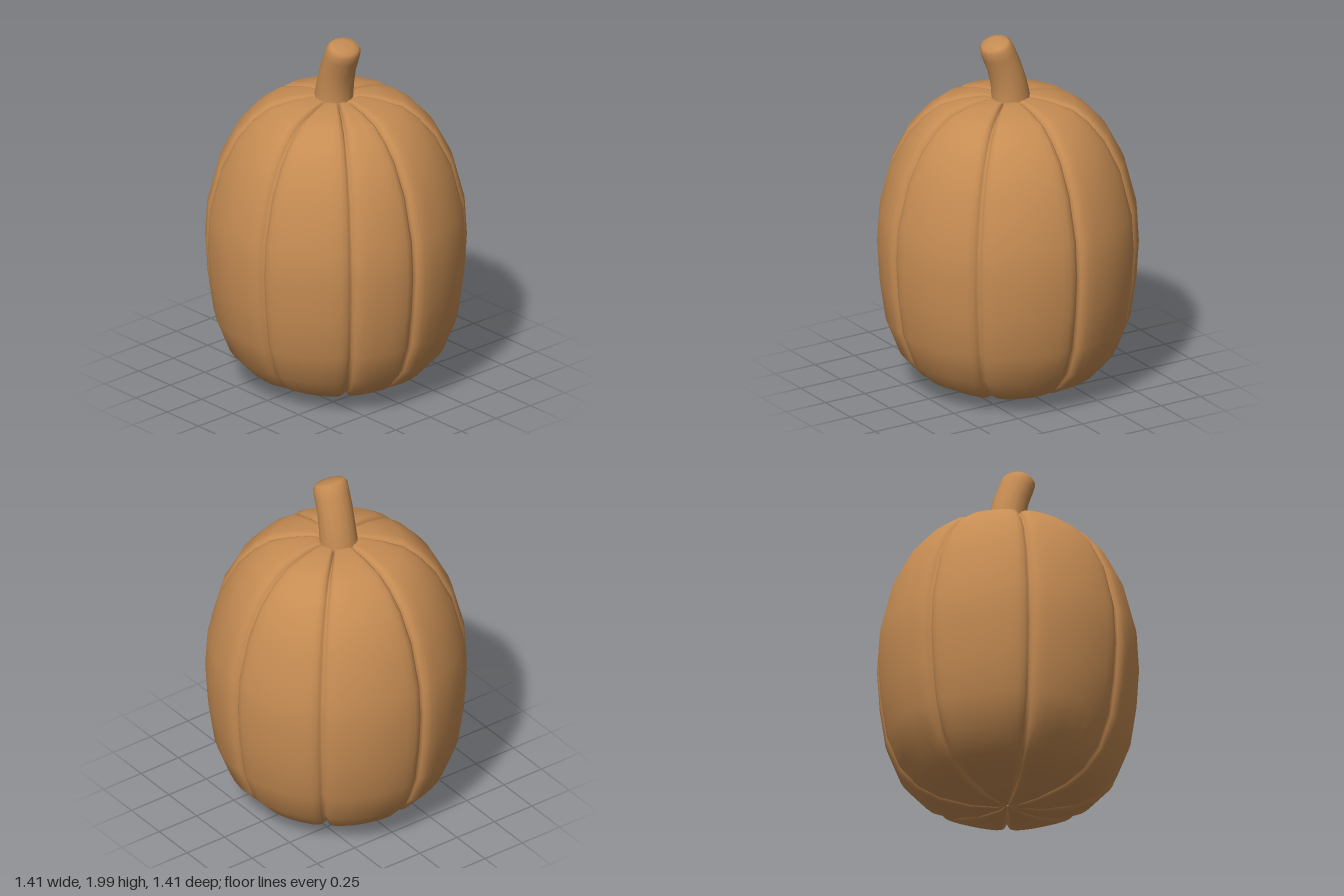
import * as THREE from 'three';

// Skin a closed surface over rings of points (bottom to top), smooth normals
function skin(rings) {
  const n = rings[0].length, pos = [], idx = [];
  rings.forEach((ring) => ring.forEach((p) => pos.push(p.x, p.y, p.z)));
  for (let i = 0; i < rings.length - 1; i++) {
    for (let j = 0; j < n; j++) {
      const a = i * n + j, b = i * n + ((j + 1) % n), c = a + n, d = b + n;
      idx.push(a, c, b, b, c, d);
    }
  }
  const g = new THREE.BufferGeometry();
  g.setAttribute('position', new THREE.Float32BufferAttribute(pos, 3));
  g.setIndex(idx);
  g.computeVertexNormals();
  return g;
}

// Body outline: [radius, height]
const PROFILE = [
  [0.005, 0.025], [0.06, 0.01], [0.2, 0.012], [0.37, 0.048], [0.49, 0.11], [0.59, 0.22],
  [0.66, 0.4], [0.692, 0.62], [0.705, 0.83], [0.693, 1.03], [0.628, 1.28], [0.54, 1.45],
  [0.45, 1.55], [0.36, 1.615], [0.24, 1.648], [0.13, 1.662], [0.07, 1.645], [0.005, 1.63],
];

// Uneven angles of the grooves (degrees from +x towards +z)
const GROOVES = [-136.8, -91.6, -44.4, 4.1, 34.9, 77.6, 126.2, 174.2];

// Cross-section of one lobe: [offset in degrees from the groove, depth share]
const LIP = [[0, 1], [1.1, 0.62], [2.6, 0.24], [5, 0.07], [9, 0]];

function bodyGeometry() {
  const columns = [];
  GROOVES.forEach((start, k) => {
    const end = k < 7 ? GROOVES[k + 1] : GROOVES[0] + 360;
    LIP.forEach(([o, d]) => columns.push([start + o, d]));
    for (let s = 1; s < 4; s++) columns.push([start + 9 + (end - start - 18) * s / 4, 0]);
    LIP.slice(1).reverse().forEach(([o, d]) => columns.push([end - o, d]));
  });
  const rings = PROFILE.map(([r, y], i) => {
    // Grooves sink along the outline's normal
    const p = PROFILE[Math.max(i - 1, 0)], q = PROFILE[Math.min(i + 1, PROFILE.length - 1)];
    const len = Math.hypot(q[0] - p[0], q[1] - p[1]);
    const nr = (q[1] - p[1]) / len, ny = -(q[0] - p[0]) / len;
    const depth = 0.034 * Math.min(1, r / 0.12);
    return columns.map(([deg, d]) => {
      const a = THREE.MathUtils.degToRad(deg), rr = Math.max(r - nr * depth * d, 0.002);
      return new THREE.Vector3(Math.cos(a) * rr, y - ny * depth * d, Math.sin(a) * rr);
    });
  });
  return skin(rings);
}

// Leaning stem: rings of [centre x, centre y, centre z, radius x, radius z, tilt]
const STEM = [
  [-0.02, 1.6, 0, 0.112, 0.108, 0], [-0.018, 1.66, 0, 0.104, 0.104, -0.06],
  [-0.004, 1.74, 0, 0.097, 0.102, -0.16], [0.02, 1.83, 0.004, 0.092, 0.1, -0.26],
  [0.053, 1.91, 0.008, 0.09, 0.1, -0.34], [0.071, 1.954, 0.01, 0.086, 0.1, -0.37],
  [0.078, 1.973, 0.01, 0.07, 0.084, -0.37], [0.08, 1.978, 0.01, 0.04, 0.05, -0.37],
  [0.081, 1.98, 0.01, 0.002, 0.002, -0.37],
];

function stemGeometry() {
  const sides = 16;
  return skin(STEM.map(([cx, cy, cz, rx, rz, tilt]) => Array.from({ length: sides }, (_, j) => {
    const a = j / sides * Math.PI * 2, u = Math.cos(a) * rx;
    return new THREE.Vector3(cx + u * Math.cos(tilt), cy + u * Math.sin(tilt), cz + Math.sin(a) * rz);
  })));
}

export function createModel() {
  const model = new THREE.Group();
  model.name = 'pumpkin';
  const skinColour = new THREE.MeshStandardMaterial({ color: 0xc68c53 });
  skinColour.name = 'pumpkin tan';

  const body = new THREE.Mesh(bodyGeometry(), skinColour);
  body.name = 'ribbedBody';
  const stem = new THREE.Mesh(stemGeometry(), skinColour);
  stem.name = 'stem';
  model.add(body, stem);
  return model;
}
